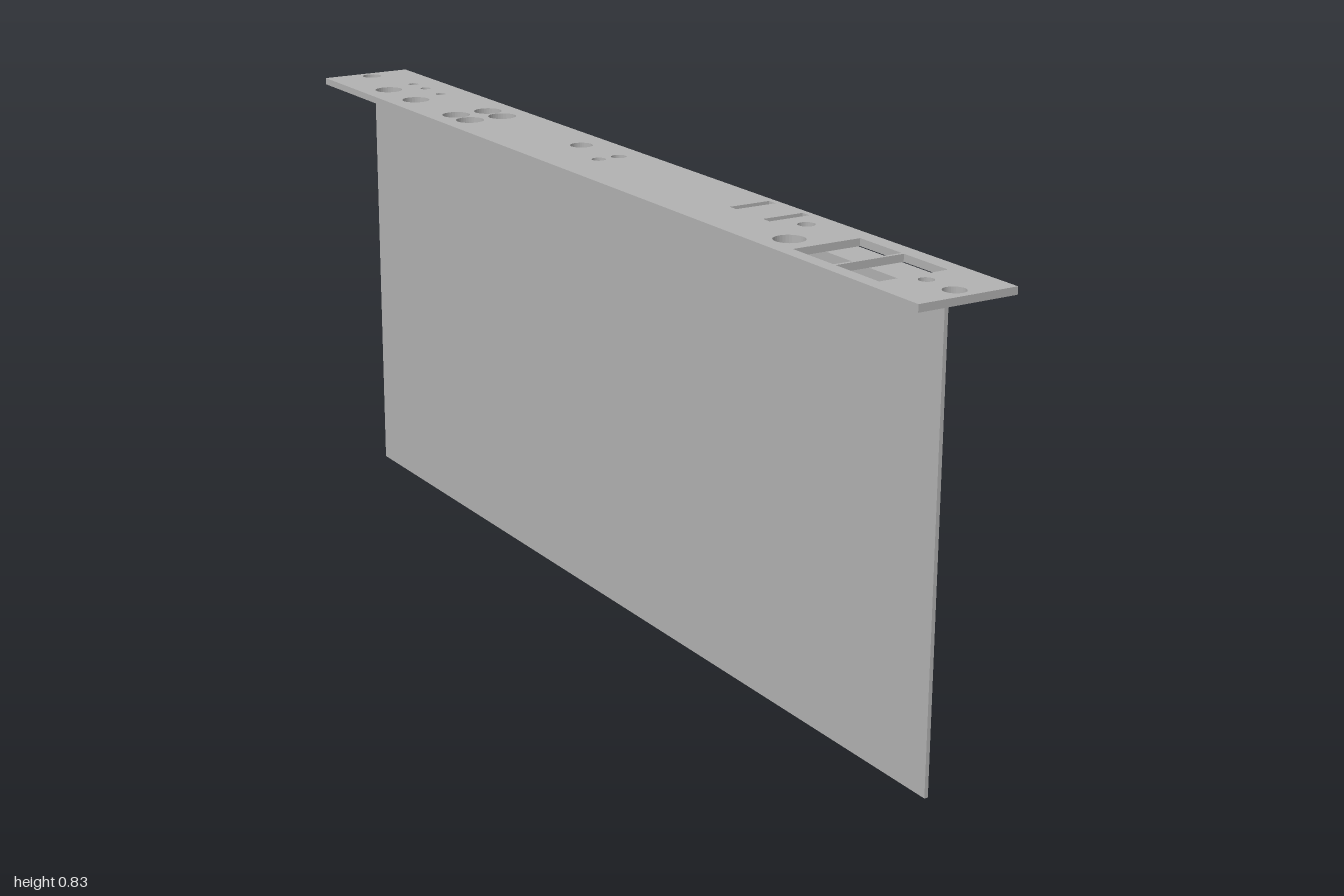
import * as THREE from 'three';

export function createModel() {
  const group = new THREE.Group();
  const grey = new THREE.MeshStandardMaterial({ color: 0xb2b2b2 });
  grey.name = 'plain grey';

  const add = (name, geometry, x, y, z) => {
    const mesh = new THREE.Mesh(geometry, grey);
    mesh.name = name;
    mesh.position.set(x, y, z);
    group.add(mesh);
  };

  const rectangle = (PathType, x0, x1, z0, z1) => {
    const p = new PathType();
    p.moveTo(x0, z0);
    p.lineTo(x1, z0);
    p.lineTo(x1, z1);
    p.lineTo(x0, z1);
    p.closePath();
    return p;
  };

  // Front plate outline, drawn in x and z
  const plate = rectangle(THREE.Shape, -0.0925, 0.0925, -1, 1);

  // Round openings: x, z, radius
  const roundHoles = [
    [0, -0.971, 0.019], [0, 0.967, 0.019],
    [-0.036, -0.82, 0.027], [-0.036, -0.7, 0.027],
    [0.034, -0.847, 0.01], [0.034, -0.794, 0.01], [0.034, -0.726, 0.01],
    [-0.036, -0.528, 0.027], [-0.036, -0.471, 0.027],
    [0.034, -0.528, 0.027], [0.034, -0.471, 0.027],
    [0.033, -0.167, 0.021],
    [0, -0.05, 0.013], [0.042, -0.05, 0.014],
    [0.042, 0.533, 0.015], [-0.036, 0.596, 0.027],
    [0, 0.9, 0.013],
  ];
  for (const [x, z, r] of roundHoles) {
    plate.holes.push(new THREE.Path().absarc(x, z, r, 0, Math.PI * 2, true));
  }

  // Slots and connector windows: x0, x1, z0, z1
  const squareHoles = [
    [0.002, 0.081, 0.37, 0.389], [0.002, 0.081, 0.467, 0.486],
    [-0.067, 0.063, 0.65, 0.757], [-0.067, 0.063, 0.763, 0.872],
  ];
  for (const h of squareHoles) plate.holes.push(rectangle(THREE.Path, ...h));

  const plateGeometry = new THREE.ExtrudeGeometry(plate, {
    depth: 0.013, bevelEnabled: false, curveSegments: 16,
  });
  plateGeometry.rotateX(Math.PI / 2);
  add('frontPlate', plateGeometry, 0, 0.835, 0);

  // Thin upright board and the mounting flange along its top edge
  add('board', new THREE.BoxGeometry(0.007, 0.822, 1.9), 0, 0.411, 0);
  add('flange', new THREE.BoxGeometry(0.0565, 0.009, 1.9), 0.03175, 0.8175, 0);

  return group;
}
